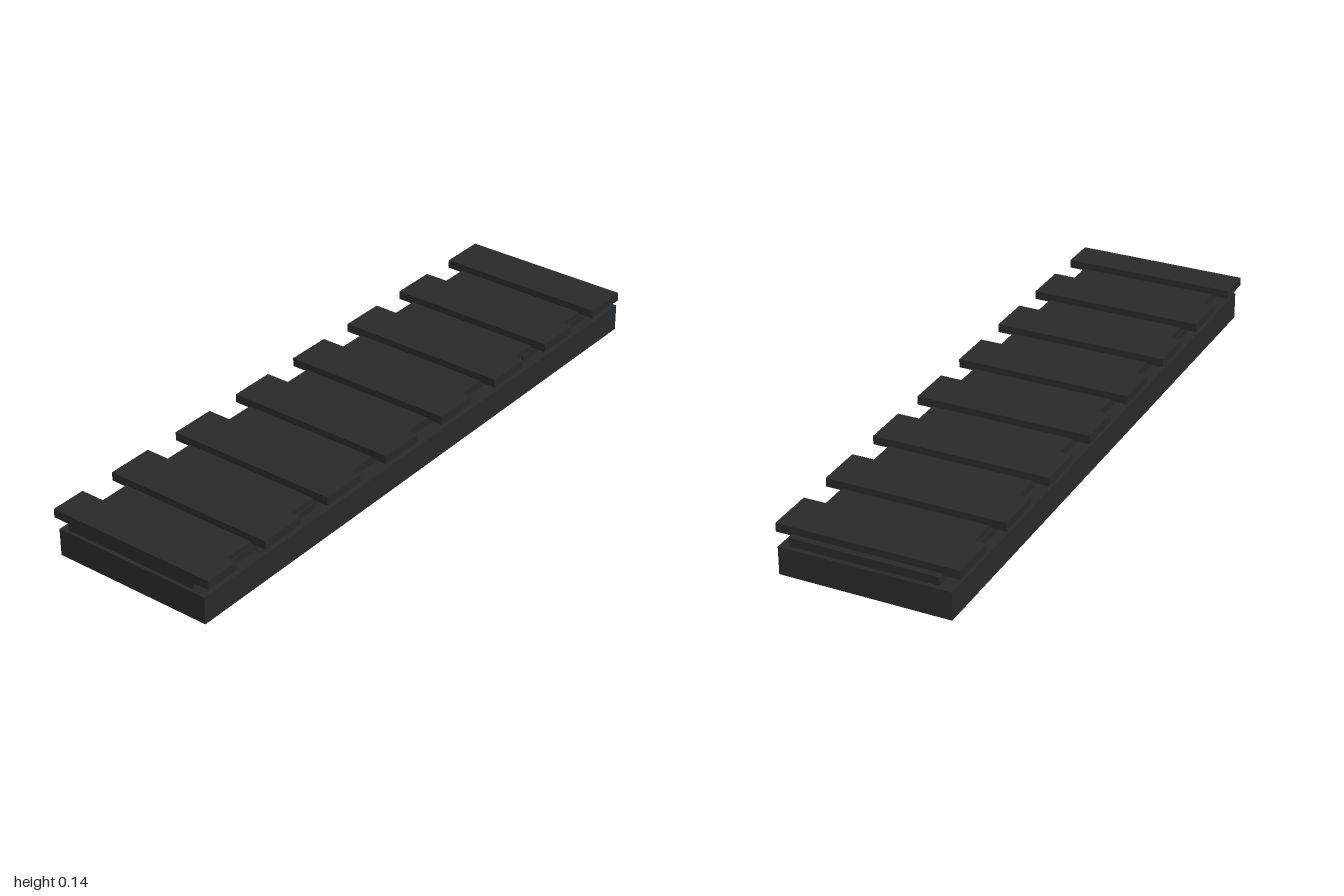
import * as THREE from 'three';

const material = new THREE.MeshStandardMaterial({ color: 0x282a2c });

// Box given by its min and max corners
function block(name, [x0, y0, z0], [x1, y1, z1]) {
  const geometry = new THREE.BoxGeometry(x1 - x0, y1 - y0, z1 - z0);
  geometry.translate((x0 + x1) / 2, (y0 + y1) / 2, (z0 + z1) / 2);
  const mesh = new THREE.Mesh(geometry, material);
  mesh.name = name;
  return mesh;
}

export function createModel() {
  const model = new THREE.Group();
  model.name = 'slottedRail';

  // Solid base and the thin core plate floating above it
  model.add(block('base', [-0.261, 0, -1], [0.261, 0.086, 1]));
  model.add(block('core', [-0.225, 0.097, -1], [0.225, 0.123, 1]));

  // Four spacer pads between base and core
  for (const [z0, z1] of [[0.5, 0.87], [-0.89, -0.52]]) {
    model.add(block('leftSpacer', [0.135, 0.086, z0], [0.229, 0.107, z1]));
    model.add(block('rightSpacer', [-0.229, 0.086, z0], [-0.135, 0.107, z1]));
  }

  // Evenly spaced cross slats, the front one cut flush with the end
  for (let i = 0; i < 8; i++) {
    const z = -0.98 + i * 0.2667;
    model.add(block('slat' + (i + 1), [-0.277, 0.118, z], [0.277, 0.145, Math.min(z + 0.148, 1)]));
  }
  return model;
}
